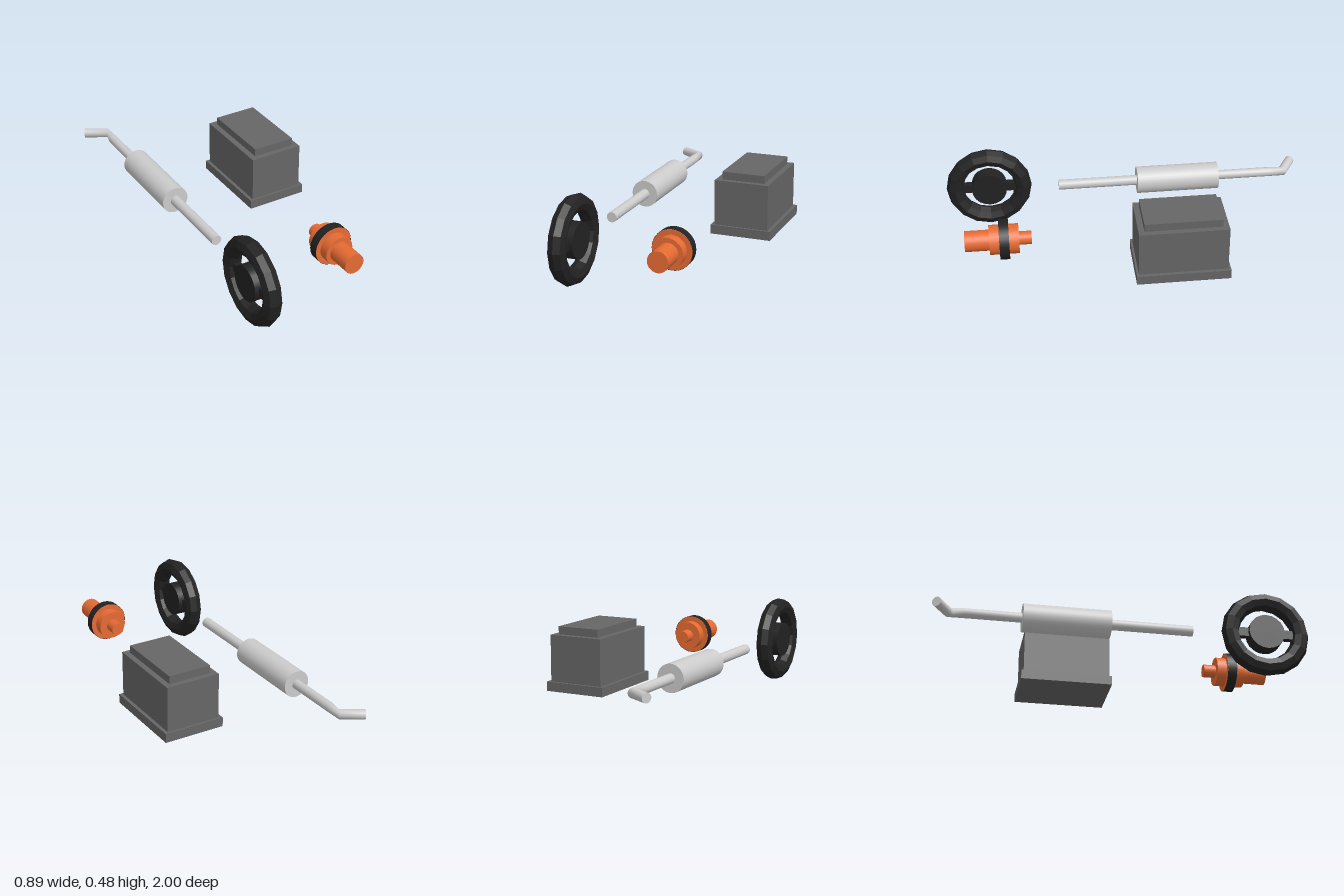
import * as THREE from 'three';

const mat = (color, extra = {}) => new THREE.MeshStandardMaterial({ color, ...extra });

const AXIS_Y = 0.239;

export function createModel() {
  const model = new THREE.Group();
  const grey = mat(0xcccccc);
  const dark = mat(0x666666);
  const orange = mat(0xe66b33);
  const black = mat(0x222222);
  const blackFlat = mat(0x222222, { flatShading: true });

  const group = (name, x, y, z) => {
    const g = new THREE.Group();
    g.name = name;
    g.position.set(x, y, z);
    model.add(g);
    return g;
  };
  const add = (parent, name, geometry, material) => {
    const mesh = new THREE.Mesh(geometry, material);
    mesh.name = name;
    parent.add(mesh);
    return mesh;
  };
  // Cylinder lying along z between two depths
  const rod = (parent, name, r, z0, z1, material, open = false) => {
    const g = new THREE.CylinderGeometry(r, r, z1 - z0, 32, 1, open);
    g.rotateX(Math.PI / 2).translate(0, 0, (z0 + z1) / 2);
    return add(parent, name, g, material);
  };
  // Box given by its limits
  const block = (parent, name, x0, x1, y0, y1, z0, z1, material) => {
    const g = new THREE.BoxGeometry(x1 - x0, y1 - y0, z1 - z0);
    g.translate((x0 + x1) / 2, (y0 + y1) / 2, (z0 + z1) / 2);
    return add(parent, name, g, material);
  };

  // Steering wheel, standing in the yz plane
  const wheel = group('steeringWheel', -0.353, 0.24, 0.761);
  add(wheel, 'wheelRim', new THREE.TorusGeometry(0.191, 0.048, 8, 16).rotateY(Math.PI / 2), blackFlat);
  add(wheel, 'wheelHub', new THREE.CylinderGeometry(0.097, 0.097, 0.08, 20).rotateZ(Math.PI / 2), black);
  add(wheel, 'wheelSpokes', new THREE.BoxGeometry(0.035, 0.05, 0.36), black);

  // Exhaust: inlet pipe, silencer and bent tailpipe
  const exhaust = group('exhaust', -0.325, AXIS_Y, 0);
  rod(exhaust, 'inletPipe', 0.028, -0.08, 0.37, grey);
  rod(exhaust, 'silencer', 0.075, -0.535, -0.073, grey);
  // Each ring: centre x, centre z, direction of its width (x, z)
  const rings = [
    [-0.109, -0.981, 0.51, -0.86],
    [0.005, -0.913, 0.51, -0.86],
    [0, -0.83, 1, 0],
    [0, -0.53, 1, 0],
  ];
  const tail = new THREE.CylinderGeometry(0.026, 0.026, 3, 20, 3);
  const p = tail.attributes.position;
  for (let i = 0; i < p.count; i++) {
    const [cx, cz, wx, wz] = rings[Math.round(1.5 - p.getY(i))];
    const across = p.getX(i);
    p.setXYZ(i, cx + across * wx, p.getZ(i), cz + across * wz);
  }
  // The remapping mirrors the rings, so check and restore the winding
  const idx = tail.index;
  const a = new THREE.Vector3(), b = new THREE.Vector3(), c = new THREE.Vector3();
  let volume = 0;
  for (let i = 0; i < idx.count; i += 3) {
    a.fromBufferAttribute(p, idx.getX(i));
    b.fromBufferAttribute(p, idx.getX(i + 1));
    c.fromBufferAttribute(p, idx.getX(i + 2));
    volume += a.dot(b.cross(c));
  }
  if (volume < 0) {
    for (let i = 0; i < idx.count; i += 3) {
      const t = idx.getX(i);
      idx.setX(i, idx.getX(i + 1));
      idx.setX(i + 1, t);
    }
  }
  tail.computeVertexNormals();
  add(exhaust, 'tailpipe', tail, grey);

  // Stepped engine block
  const engine = group('engineBlock', 0, 0, 0);
  block(engine, 'blockBase', 0.102, 0.442, 0.087, 0.138, -0.487, 0.015, dark);
  block(engine, 'blockBody', 0.12, 0.423, 0.13, 0.39, -0.473, 0.003, dark);
  block(engine, 'blockLid', 0.153, 0.392, 0.385, 0.433, -0.441, -0.028, dark);

  // Stepped motor with a black band round its flange
  const motor = group('motor', 0.163, AXIS_Y, 0);
  rod(motor, 'motorShaft', 0.036, 0.548, 0.62, orange);
  rod(motor, 'motorBody', 0.08, 0.615, 0.773, orange);
  rod(motor, 'motorNose', 0.056, 0.77, 0.903, orange);
  rod(motor, 'flange', 0.107, 0.668, 0.72, orange);
  rod(motor, 'flangeBand', 0.1085, 0.668, 0.72, mat(0x222222, { side: THREE.DoubleSide }), true);

  return model;
}
